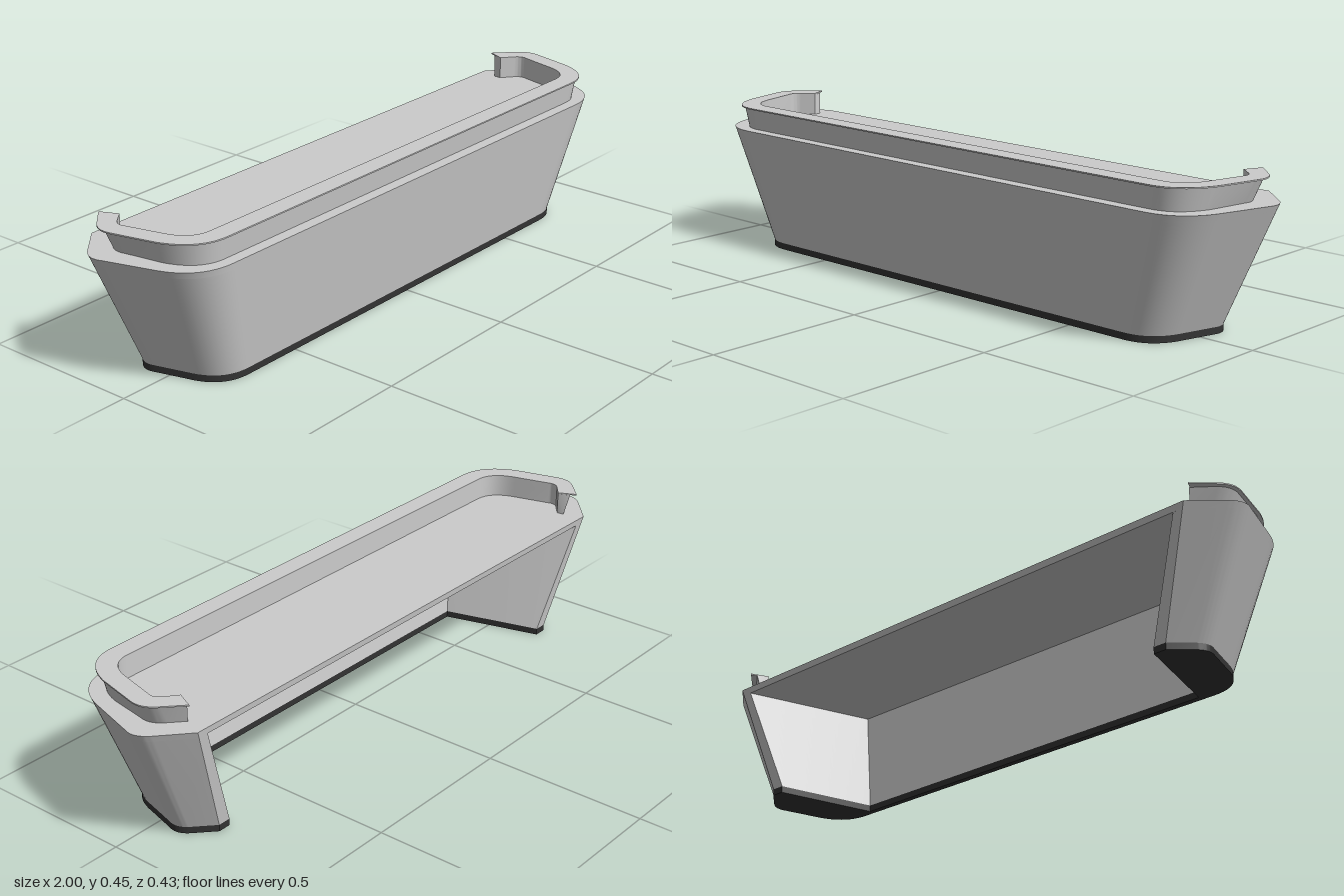
import * as THREE from 'three';
import { toCreasedNormals } from 'three/addons/utils/BufferGeometryUtils.js';

const STEPS = 12;

// Half outline [back end, small corner (from, control, to), large corner (from, control, to)], mirrored in x
function outline(end, a, ac, b, c, cc, d) {
  const v = (p) => new THREE.Vector2(p[0], p[1]);
  const half = [
    v(end),
    ...new THREE.QuadraticBezierCurve(v(a), v(ac), v(b)).getPoints(STEPS),
    ...new THREE.QuadraticBezierCurve(v(c), v(cc), v(d)).getPoints(STEPS),
  ];
  return mirrored(half);
}

const mirrored = (half) => [...half, ...half.map((p) => new THREE.Vector2(-p.x, p.y)).reverse()];

// Straight-sided knee space, with as many points as an outline
function cavity(back, front) {
  const n = 2 * STEPS + 3;
  const a = new THREE.Vector2(...back), b = new THREE.Vector2(...front);
  return mirrored(Array.from({ length: n }, (_, i) => a.clone().lerp(b, i / (n - 1))));
}

const at = (pts, y) => pts.map((p) => [p.x, y, p.y]);

function finish(tris) {
  const g = new THREE.BufferGeometry();
  g.setAttribute('position', new THREE.Float32BufferAttribute(tris.flat(), 3));
  return toCreasedNormals(g, 0.5);
}

// Open U-shaped wall: outer bottom, outer top, inner top, inner bottom
function wall(...loops) {
  const tris = [], n = loops[0].length;
  loops.forEach((A, k) => {
    const B = loops[(k + 1) % loops.length];
    for (let i = 0; i < n - 1; i++) {
      tris.push(A[i], B[i], A[i + 1], B[i], B[i + 1], A[i + 1]);
    }
  });
  const [s, e] = [0, n - 1].map((i) => loops.map((l) => l[i]));
  tris.push(s[0], s[2], s[1], s[0], s[3], s[2]);
  tris.push(e[0], e[1], e[2], e[0], e[2], e[3]);
  return finish(tris);
}

// Closed slab between two matching convex loops
function slab(A, B) {
  const tris = [], n = A.length;
  for (let i = 0; i < n; i++) {
    const j = (i + 1) % n;
    tris.push(A[i], B[i], A[j], B[i], B[j], A[j]);
    if (i > 0 && i < n - 1) tris.push(B[0], B[j], B[i], A[0], A[i], A[j]);
  }
  return finish(tris);
}

export function createModel() {
  const group = new THREE.Group();
  const grey = new THREE.MeshStandardMaterial({ color: 0xcccccc });
  const dark = new THREE.MeshStandardMaterial({ color: 0x333333 });
  const add = (name, geometry, material = grey) => {
    const mesh = new THREE.Mesh(geometry, material);
    mesh.name = name;
    group.add(mesh);
  };

  const foot = outline([0.77, -0.16], [0.825, -0.108], [0.855, -0.08], [0.842, -0.045],
    [0.815, 0.05], [0.79, 0.16], [0.69, 0.16]);
  const top = outline([0.888, -0.213], [0.975, -0.135], [1.012, -0.1], [0.995, -0.06],
    [0.95, 0.09], [0.913, 0.213], [0.79, 0.213]);
  const kneeFoot = cavity([0.73, -0.16], [0.65, 0.142]);
  const kneeTop = cavity([0.85, -0.21], [0.725, 0.19]);

  // Outline of the body just below the counter
  const under = foot.map((p, i) => p.clone().lerp(top[i], 0.338 / 0.358));

  // Dark base, flared body and counter
  add('plinth', wall(at(foot, 0), at(foot, 0.02), at(kneeFoot, 0.02), at(kneeFoot, 0)), dark);
  add('body', wall(at(foot, 0.02), at(under, 0.358), at(kneeTop, 0.358), at(kneeFoot, 0.02)));
  add('counter', slab(at(under, 0.358), at(top, 0.378)));

  // Raised screen around the counter, with a thin overhanging rim
  const screenFoot = outline([0.862, -0.153], [0.9, -0.118], [0.938, -0.085], [0.925, -0.045],
    [0.905, 0.07], [0.875, 0.177], [0.785, 0.177]);
  const screenTop = outline([0.875, -0.166], [0.93, -0.122], [0.965, -0.09], [0.952, -0.047],
    [0.922, 0.075], [0.885, 0.185], [0.79, 0.185]);
  const rimOuter = outline([0.885, -0.184], [0.942, -0.13], [0.977, -0.097], [0.964, -0.05],
    [0.932, 0.08], [0.893, 0.194], [0.79, 0.194]);
  const inner = outline([0.86, -0.13], [0.895, -0.102], [0.918, -0.085], [0.908, -0.06],
    [0.88, 0.05], [0.86, 0.133], [0.79, 0.133]);
  add('screen', wall(at(screenFoot, 0.378), at(screenTop, 0.443), at(inner, 0.443), at(inner, 0.378)));
  add('rim', wall(at(rimOuter, 0.443), at(rimOuter, 0.447), at(inner, 0.447), at(inner, 0.443)));

  return group;
}
